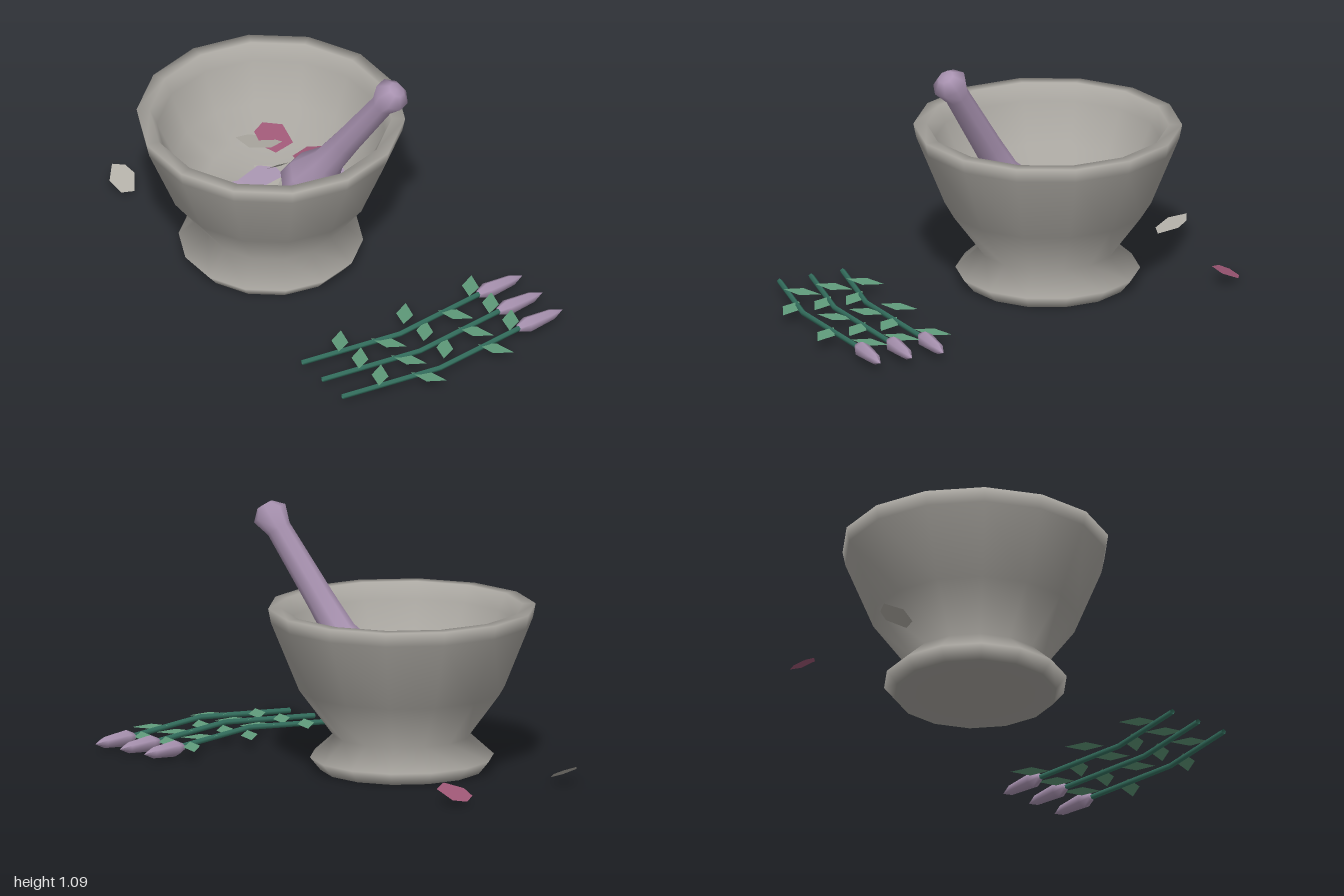
import * as THREE from 'three';

const mat = (name, color, side = THREE.FrontSide) => {
  const m = new THREE.MeshStandardMaterial({ color, side });
  m.name = name;
  return m;
};
const stone = mat('stone', 0xaaa7a1);
const lavender = mat('lavender', 0xa892b0);
const lavenderPetal = mat('lavenderPetal', 0xac98b4, THREE.DoubleSide);
const rosePetal = mat('rosePetal', 0x9c5674, THREE.DoubleSide);
const palePetal = mat('palePetal', 0xb3b0a8, THREE.DoubleSide);
const leafGreen = mat('leafGreen', 0x5f9a7a, THREE.DoubleSide);
const stemGreen = mat('stemGreen', 0x34705f, THREE.DoubleSide);

function add(parent, name, geometry, material) {
  const mesh = new THREE.Mesh(geometry, material);
  mesh.name = name;
  parent.add(mesh);
  return mesh;
}

const lathe = (profile, sides, start = 0) =>
  new THREE.LatheGeometry(profile.map(([r, y]) => new THREE.Vector2(r, y)), sides, start);

// Flat plate from a clockwise [x, z] outline, lying on a plane with slopes sx and sz
function plate(outline, y, sx = 0, sz = 0) {
  const cx = outline.reduce((s, p) => s + p[0], 0) / outline.length;
  const cz = outline.reduce((s, p) => s + p[1], 0) / outline.length;
  const at = ([x, z]) => [x, y + sx * (x - cx) + sz * (z - cz), z];
  const pos = [];
  for (let i = 1; i < outline.length - 1; i++) {
    pos.push(...at(outline[0]), ...at(outline[i + 1]), ...at(outline[i]));
  }
  const g = new THREE.BufferGeometry();
  g.setAttribute('position', new THREE.Float32BufferAttribute(pos, 3));
  g.computeVertexNormals();
  return g;
}

export function createModel() {
  const model = new THREE.Group();
  model.name = 'mortarAndPestle';

  // Mortar: foot, waist, flared wall, rim and hollow in one profile
  const mortar = add(model, 'mortar', lathe([
    [0, 0], [0.34, 0], [0.385, 0.055], [0.285, 0.145], [0.43, 0.34],
    [0.548, 0.63], [0.56, 0.69], [0.505, 0.69], [0.475, 0.62],
    [0.4, 0.45], [0.27, 0.36], [0, 0.335],
  ], 14, Math.PI / 2), stone);
  mortar.position.set(-0.235, 0, 0.08);

  // Pestle leaning on the rim, origin where its axis crosses rim height
  const pestle = add(model, 'pestle', lathe([
    [0, -0.45], [0.075, -0.435], [0.118, -0.37], [0.112, -0.29], [0.068, -0.16],
    [0.06, 0], [0.052, 0.34], [0.076, 0.415], [0.035, 0.457], [0, 0.457],
  ], 8), lavender);
  pestle.position.set(0.105, 0.69, -0.0625);
  pestle.quaternion.setFromUnitVectors(
    new THREE.Vector3(0, 1, 0), new THREE.Vector3(0.63, 1, -0.24).normalize());

  // Petals: material, height, slopes, outline
  const petals = [
    [rosePetal, 0.045, 0.5, 0.1, [[-0.96, -0.25], [-0.93, -0.305], [-0.85, -0.32], [-0.83, -0.26], [-0.89, -0.2], [-0.94, -0.2]]],
    [palePetal, 0.05, -0.45, 0, [[-1, 0.35], [-0.975, 0.3], [-0.93, 0.285], [-0.86, 0.335], [-0.875, 0.39], [-0.94, 0.405]]],
    [rosePetal, 0.39, 0.1, -0.1, [[-0.3, -0.15], [-0.22, -0.235], [-0.14, -0.2], [-0.14, -0.12], [-0.2, -0.05], [-0.29, -0.07]]],
    [lavenderPetal, 0.39, 0, 0.1, [[-0.14, -0.18], [-0.08, -0.22], [0, -0.2], [0, -0.1], [-0.1, -0.09]]],
    [rosePetal, 0.415, -0.35, -0.35, [[-0.48, -0.05], [-0.42, -0.11], [-0.33, -0.1], [-0.34, -0.02], [-0.4, 0.01], [-0.47, 0]]],
    [palePetal, 0.405, 0.25, 0.1, [[-0.51, -0.0], [-0.46, -0.03], [-0.35, -0.06], [-0.33, 0.01], [-0.39, 0.08], [-0.52, 0.06]]],
    [palePetal, 0.375, 0, 0, [[-0.33, 0.1], [-0.29, 0.04], [-0.2, 0.05], [-0.13, 0.13], [-0.22, 0.16]]],
    [lavenderPetal, 0.395, 0.05, -0.05, [[-0.3, 0.1], [-0.24, 0.05], [-0.17, 0.06], [-0.16, 0.22], [-0.27, 0.22]]],
    [lavenderPetal, 0.39, -0.1, 0.05, [[-0.27, 0.28], [-0.26, 0.22], [-0.14, 0.2], [-0.12, 0.32], [-0.22, 0.36]]],
    [palePetal, 0.42, 0.9, 0.2, [[-0.25, 0.02], [-0.19, 0.02], [-0.19, 0.08], [-0.25, 0.09]]],
  ];
  petals.forEach(([material, y, sx, sz, outline]) =>
    add(model, 'petal', plate(outline, y, sx, sz), material));

  // Three flower sprigs lying side by side
  const path = new THREE.CatmullRomCurve3([
    new THREE.Vector3(0.53, 0.03, 0.46),
    new THREE.Vector3(0.628, 0.052, -0.02),
    new THREE.Vector3(0.578, 0.042, -0.41),
  ]);
  const leftLeaf = [[-0.055, -0.055], [0.035, -0.03], [0.072, 0.045], [-0.01, 0.025]];
  const rightLeaf = [[-0.06, 0.05], [-0.03, -0.025], [0.06, -0.05], [0.025, 0.03]];
  const leaves = [
    [leftLeaf, 0.51, -0.4], [rightLeaf, 0.645, -0.24], [leftLeaf, 0.51, -0.065],
    [rightLeaf, 0.645, 0.1], [leftLeaf, 0.51, 0.265],
  ];
  for (let i = 0; i < 3; i++) {
    const sprig = new THREE.Group();
    sprig.name = 'sprig';
    sprig.position.x = i * 0.145;
    model.add(sprig);

    add(sprig, 'stem', new THREE.TubeGeometry(path, 2, 0.012, 5), stemGreen);

    const bud = add(sprig, 'bud', lathe([
      [0, 0], [0.016, 0.005], [0.035, 0.05], [0.024, 0.175], [0, 0.23],
    ], 6), lavender);
    bud.rotation.x = -Math.PI / 2;
    bud.position.set(0.575, 0.04, -0.4);

    leaves.forEach(([shape, x, z]) => add(sprig, 'leaf',
      plate(shape.map(p => [p[0] + x, p[1] + z]), 0.049, 0, 0.1), leafGreen));
  }
  return model;
}
